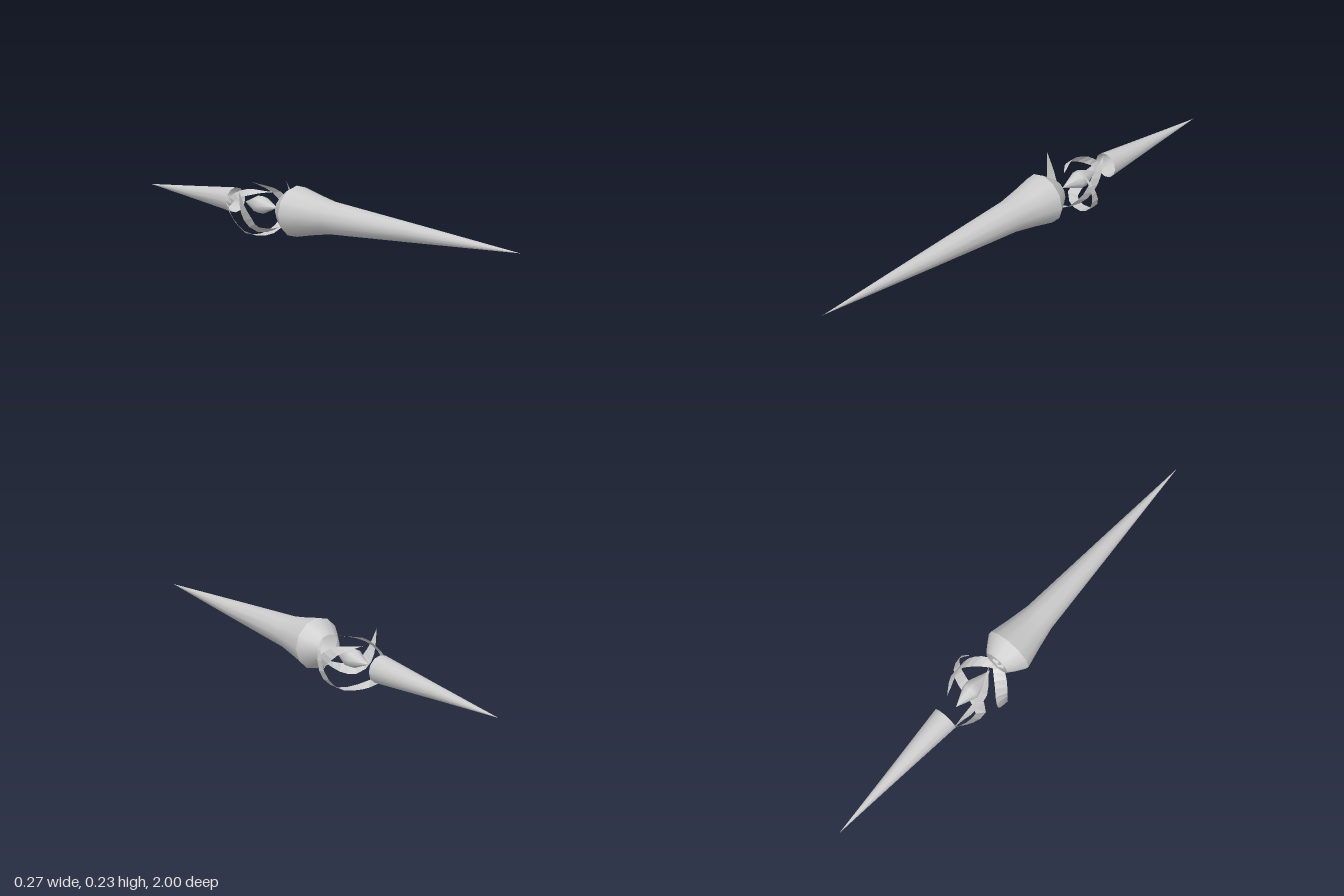
import * as THREE from 'three';

const CX = 0.015, CY = 0.132; // long axis of the spindle

const material = new THREE.MeshStandardMaterial({ color: 0xcccccc, side: THREE.DoubleSide });
const facetMaterial = new THREE.MeshStandardMaterial({ color: 0xcccccc, side: THREE.DoubleSide, flatShading: true });

// Turned part along z; profile is [radius, z] with z ascending.
function turned(name, profile, sides, mat = material) {
  const geo = new THREE.LatheGeometry(profile.map(([r, z]) => new THREE.Vector2(r, z)), sides);
  geo.rotateX(Math.PI / 2);
  const mesh = new THREE.Mesh(geo, mat);
  mesh.name = name;
  mesh.position.set(CX, CY, 0);
  return mesh;
}

// Flat band wrapped round the axis, following a path and narrowing to a point at its end.
function ribbon(name, path, width, steps = 12) {
  const curve = new THREE.CatmullRomCurve3(path.map(p => new THREE.Vector3(...p)));
  const pos = [], index = [];
  for (let i = 0; i <= steps; i++) {
    const t = i / steps;
    const p = curve.getPointAt(t);
    const out = new THREE.Vector3(p.x - CX, p.y - CY, 0).normalize();
    const side = curve.getTangentAt(t).cross(out).normalize();
    const half = (width / 2) * Math.min(1, (1 - t) * 2.6) * (0.75 + 0.25 * Math.min(1, t * 4));
    const a = p.clone().addScaledVector(side, half);
    const b = p.clone().addScaledVector(side, -half);
    pos.push(...a.toArray(), ...b.toArray());
    if (i < steps) {
      const k = 2 * i;
      index.push(k, k + 1, k + 2, k + 1, k + 3, k + 2);
    }
  }
  const geo = new THREE.BufferGeometry();
  geo.setAttribute('position', new THREE.Float32BufferAttribute(pos, 3));
  geo.setIndex(index);
  geo.computeVertexNormals();
  const mesh = new THREE.Mesh(geo, facetMaterial);
  mesh.name = name;
  return mesh;
}

export function createModel() {
  const group = new THREE.Group();
  group.name = 'spindle';

  // Long front spike with its flared shoulder and tapered collar
  group.add(turned('frontSpike', [[0.103, -0.055], [0.084, 0.03], [0.066, 0.125], [0.036, 0.53], [0, 1]], 12));
  group.add(turned('frontCollar', [[0.054, -0.125], [0.075, -0.098], [0.103, -0.055]], 12));

  // Short rear spike, open towards the middle
  group.add(turned('rearSpike', [[0, -1], [0.026, -0.71], [0.053, -0.42]], 12));

  // Floating gem between the spikes
  group.add(turned('gem', [[0, -0.36], [0.036, -0.28], [0.036, -0.25], [0, -0.165]], 8));

  // Claw ribbons rooted in the rear spike
  group.add(ribbon('rearLowerRibbon', [
    [-0.03, 0.11, -0.42], [-0.05, 0.065, -0.36], [-0.045, 0.02, -0.29], [0.01, 0.007, -0.262],
    [0.075, 0.021, -0.25], [0.126, 0.075, -0.235], [0.13, 0.165, -0.21], [0.085, 0.232, -0.19],
  ], 0.045, 14));
  group.add(ribbon('rearUpperRibbon', [
    [-0.03, 0.12, -0.42], [-0.045, 0.165, -0.35], [-0.045, 0.19, -0.27], [0.012, 0.195, -0.175],
  ], 0.035, 8));

  // Claw ribbons rooted in the front collar
  group.add(ribbon('frontRightRibbon', [
    [0.02, 0.075, -0.115], [0.07, 0.08, -0.14], [0.108, 0.12, -0.2],
    [0.1, 0.175, -0.27], [0.05, 0.212, -0.365],
  ], 0.045, 10));
  group.add(ribbon('frontLeftRibbon', [
    [0.02, 0.075, -0.115], [-0.03, 0.05, -0.155], [-0.075, 0.055, -0.2],
    [-0.108, 0.115, -0.225], [-0.135, 0.208, -0.23],
  ], 0.055, 10));

  return group;
}
